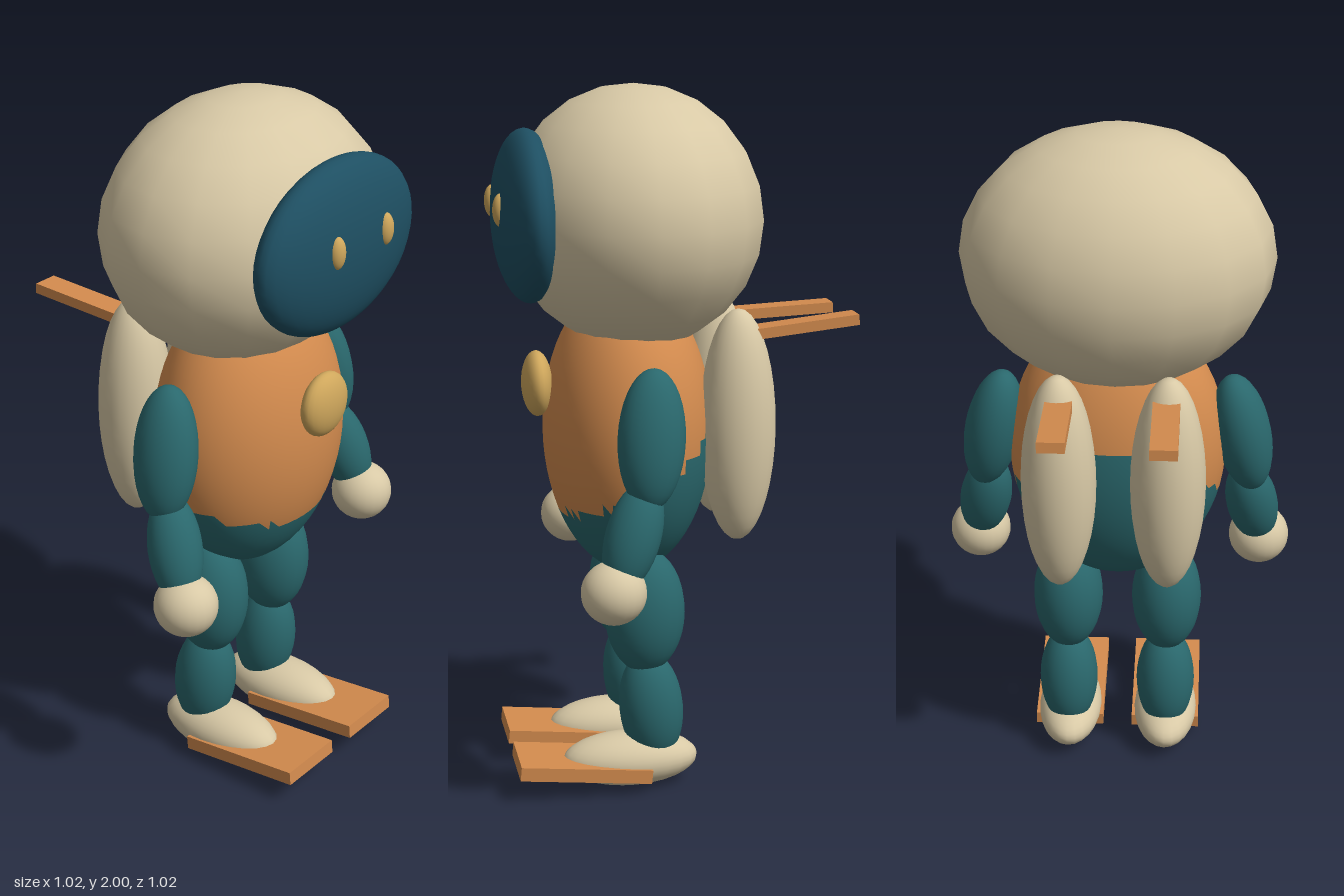
import * as THREE from 'three';

const mat = (name, color) => {
  const m = new THREE.MeshStandardMaterial({ color });
  m.name = name;
  return m;
};

export function createModel() {
  const cream = mat('cream', 0xd8c9a6);
  const orange = mat('orange', 0xd38b4e);
  const teal = mat('teal', 0x2a686d);
  const navy = mat('navy', 0x1e4f62);
  const gold = mat('gold', 0xcfa75c);

  const root = new THREE.Group();
  root.name = 'astronaut';

  const add = (name, geometry, material, pos, parent = root) => {
    const mesh = new THREE.Mesh(geometry, material);
    mesh.name = name;
    mesh.position.set(...pos);
    parent.add(mesh);
    return mesh;
  };

  // Ellipsoid from its centre and three radii
  const ellipsoid = (name, material, pos, radii, parent = root, seg = 24) => {
    const mesh = add(name, new THREE.SphereGeometry(1, seg, Math.round(seg * 0.75)), material, pos, parent);
    mesh.scale.set(...radii);
    return mesh;
  };

  // Ellipsoid stretched between two end points
  const limb = (name, material, a, b, rx, rz, parent) => {
    const from = new THREE.Vector3(...a), to = new THREE.Vector3(...b);
    const axis = from.clone().sub(to);
    const mid = from.clone().add(to).multiplyScalar(0.5);
    const mesh = ellipsoid(name, material, mid.toArray(), [rx, axis.length() / 2, rz], parent);
    mesh.quaternion.setFromUnitVectors(new THREE.Vector3(0, 1, 0), axis.normalize());
    return mesh;
  };

  // Torso: orange jacket above a teal seat that rises towards the back
  const torso = new THREE.SphereGeometry(1, 48, 32).toNonIndexed();
  torso.scale(0.315, 0.42, 0.24).translate(0, 1.03, 0.122);
  const p = torso.attributes.position;
  for (let i = 0; i < p.count; i += 3) {
    const y = (p.getY(i) + p.getY(i + 1) + p.getY(i + 2)) / 3;
    const z = (p.getZ(i) + p.getZ(i + 1) + p.getZ(i + 2)) / 3;
    const edge = 0.955 - z * (z > 0 ? 0.47 : 1.5);
    torso.addGroup(i, 3, y < edge ? 1 : 0);
  }
  add('torso', torso, [orange, teal], [0, 0, 0]);
  ellipsoid('chestButton', gold, [0, 1.165, 0.38], [0.093, 0.093, 0.043]);

  // Helmet and visor
  ellipsoid('helmet', cream, [0, 1.632, 0.1], [0.442, 0.368, 0.362], root, 16);
  ellipsoid('visor', navy, [0, 1.64, 0.402], [0.335, 0.24, 0.096], root, 32);

  // Paired parts
  for (const s of [1, -1]) {
    const side = s > 0 ? 'left' : 'right';
    const group = (part) => {
      const g = new THREE.Group();
      g.name = side + part;
      root.add(g);
      return g;
    };

    ellipsoid(side + 'Eye', gold, [s * 0.11, 1.67, 0.485], [0.026, 0.046, 0.023]);

    const arm = group('Arm');
    limb('upperArm', teal, [s * 0.325, 1.262, 0.1], [s * 0.4, 0.885, 0.13], 0.082, 0.093, arm);
    limb('lowerArm', teal, [s * 0.368, 0.96, 0.125], [s * 0.425, 0.67, 0.22], 0.076, 0.076, arm);
    ellipsoid('hand', cream, [s * 0.422, 0.667, 0.23], [0.09, 0.088, 0.09], arm);

    const leg = group('Leg');
    ellipsoid('upperLeg', teal, [s * 0.148, 0.523, 0.098], [0.104, 0.182, 0.115], leg);
    limb('lowerLeg', teal, [s * 0.148, 0.4, 0.095], [s * 0.148, 0.07, 0.065], 0.088, 0.092, leg);
    ellipsoid('foot', cream, [s * 0.148, 0.083, 0.142], [0.096, 0.078, 0.196], leg);
    const ski = add('footPlate', new THREE.BoxGeometry(0.207, 0.04, 0.378), orange, [s * 0.148, 0.075, 0.282], leg);
    ski.rotation.x = -0.095;

    // Back tank with a flat fin; the left fin is raised slightly more
    const pack = group('Pack');
    ellipsoid('tank', cream, [s * 0.153, 1.055, -0.168], [0.106, 0.332, 0.107], pack);
    const fin = add('fin', new THREE.BoxGeometry(0.075, 0.03, 0.36), orange,
      [s * 0.147, s > 0 ? 1.33 : 1.326, -0.329], pack);
    fin.rotation.x = s > 0 ? 0.11 : 0.05;
  }

  return root;
}
